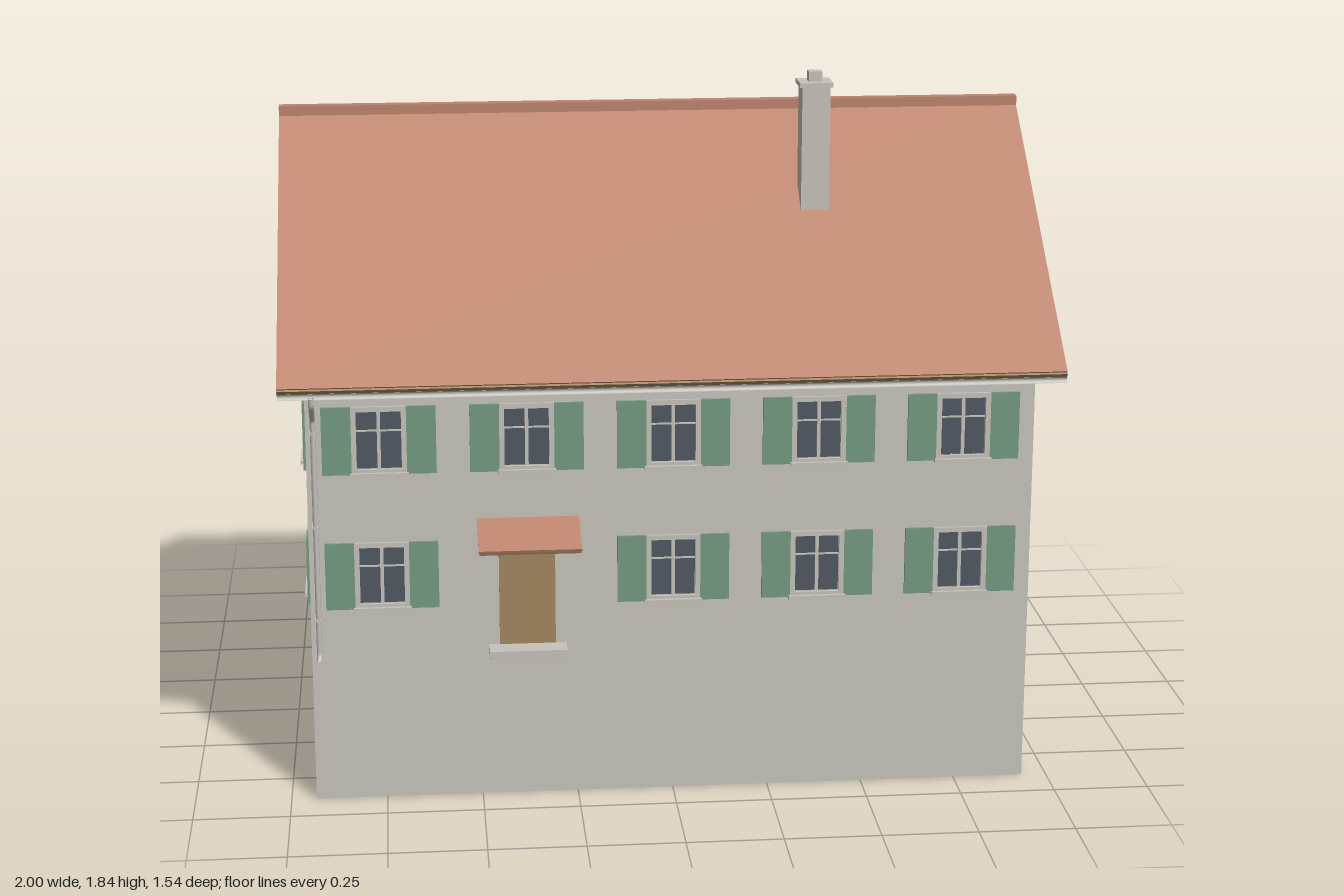
import * as THREE from 'three';

const mat = (name, color, side = THREE.FrontSide) => {
  const m = new THREE.MeshStandardMaterial({ color, side });
  m.name = name;
  return m;
};
const M = {
  wall: mat('plaster', 0xc8c4bd, THREE.DoubleSide),
  stone: mat('stone', 0xc6c2bb, THREE.DoubleSide),
  tile: mat('roofTile', 0xbd846d),
  wood: mat('wood', 0xa3875f),
  shutter: mat('shutterGreen', 0x739a80),
  glass: mat('glass', 0x4f5862, THREE.DoubleSide),
  iron: mat('darkIron', 0x4a4540),
};

// House measures
const ZC = -0.02, FRONT = 0.64, BACK = -0.67, HALF = 0.935;
const RIDGE = 1.705, SLOPE = 0.775, EAVE = 0.74, THICK = 0.025;
const COS = 1 / Math.hypot(1, SLOPE);
const underside = z => RIDGE - THICK / COS - SLOPE * Math.abs(z - ZC);

function mesh(name, geometry, material, parent, x = 0, y = 0, z = 0) {
  const m = new THREE.Mesh(geometry, material);
  m.name = name;
  m.position.set(x, y, z);
  parent.add(m);
  return m;
}
const box = (name, w, h, d, material, parent, x, y, z) =>
  mesh(name, new THREE.BoxGeometry(w, h, d), material, parent, x, y, z);

const poly = points => new THREE.Shape(points.map(p => new THREE.Vector2(...p)));
const rect = (x, y, w, h) => poly([
  [x - w / 2, y - h / 2], [x + w / 2, y - h / 2], [x + w / 2, y + h / 2], [x - w / 2, y + h / 2]]);

// Shuttered window on a wall plane, outside towards +z
function addWindow(parent, { x, y, w, h, s }) {
  const g = new THREE.Group();
  g.name = 'window';
  g.position.set(x, y, 0);
  parent.add(g);
  const iw = w - 0.026, ih = h - 0.026;
  const surround = rect(0, 0, w, h);
  surround.holes.push(rect(0, 0, iw, ih));
  mesh('windowSurround', new THREE.ExtrudeGeometry(surround, { depth: 0.008, bevelEnabled: false }), M.stone, g);
  mesh('windowGlass', new THREE.PlaneGeometry(iw, ih), M.glass, g, 0, 0, -0.006);
  box('windowMullion', 0.009, ih, 0.006, M.stone, g, 0, 0, -0.002);
  box('windowBar', iw, 0.004, 0.004, M.stone, g, 0, ih * 0.16, -0.003);
  box('windowSill', w + 0.008, 0.01, 0.018, M.stone, g, 0, -h / 2, 0.009);
  for (const side of [-1, 1])
    box('shutter', s, h, 0.007, M.shutter, g, side * (w + s) / 2, 0, 0.0045);
}

// Wall sheet with openings and its windows
function addWall(parent, name, outline, windows, door) {
  const g = new THREE.Group();
  g.name = name;
  parent.add(g);
  const shape = poly(outline);
  for (const n of windows) shape.holes.push(rect(n.x, n.y, n.w - 0.026, n.h - 0.026));
  if (door) shape.holes.push(rect(door.x, door.y, door.w, door.h));
  mesh(name + 'Plaster', new THREE.ShapeGeometry(shape), M.wall, g);
  windows.forEach(n => addWindow(g, n));
  return g;
}

const FLOORS = [0.612, 0.973];
const standard = (x, y) => ({ x, y, w: 0.14, h: 0.178, s: 0.075 });

// Chevron roof layer, extruded along the ridge
function roofLayer(name, top, thick, half, material, parent) {
  const dx = thick * SLOPE * COS, dy = thick * COS, low = top - SLOPE * half;
  const shape = poly([
    [0, top], [-half, low], [-half + dx, low - dy], [0, top - thick / COS],
    [half - dx, low - dy], [half, low]]);
  const geo = new THREE.ExtrudeGeometry(shape, { depth: 2, bevelEnabled: false });
  geo.translate(0, 0, -1).rotateY(Math.PI / 2);
  mesh(name, geo, material, parent, 0, 0, ZC);
}

// Gutter and downpipe; side +1 is the front, -1 the back
function addDrain(parent, side, x) {
  const g = new THREE.Group();
  g.name = side > 0 ? 'frontDrain' : 'backDrain';
  parent.add(g);
  const lip = ZC + side * (EAVE + 0.003), wall = side > 0 ? FRONT : BACK;
  const gutter = new THREE.CylinderGeometry(0.008, 0.008, 2, 10, 1, true, -Math.PI / 2, Math.PI);
  gutter.rotateZ(Math.PI / 2).rotateX(0);
  // Turn the open half upwards
  gutter.computeBoundingBox();
  if (gutter.boundingBox.max.y > 0.004) gutter.rotateX(Math.PI);
  mesh('gutter', gutter, M.stone, g, 0, 1.112, lip);
  const path = [[1.108, lip], [1.085, lip - side * 0.003], [1.03, wall + side * 0.018],
    [0.41, wall + side * 0.018], [0.393, wall + side * 0.03]];
  const curve = new THREE.CatmullRomCurve3(
    path.map(([y, z]) => new THREE.Vector3(x, y, z)), false, 'catmullrom', 0.05);
  mesh('downpipe', new THREE.TubeGeometry(curve, 90, 0.007, 8), M.stone, g);
  for (const y of [0.5, 0.75, 1.0])
    box('pipeClip', 0.018, 0.006, 0.026, M.stone, g, x, y, wall + side * 0.013);
}

export function createModel() {
  const house = new THREE.Group();
  house.name = 'house';

  // Long walls, five bays on two floors; the front door takes one bay
  const bays = [-0.75, -0.375, 0, 0.375, 0.75];
  const door = { x: -0.378, y: 0.548, w: 0.145, h: 0.27 };
  const long = z => [[-HALF, 0], [HALF, 0], [HALF, underside(z)], [-HALF, underside(z)]];
  const all = FLOORS.flatMap(y => bays.map(x => standard(x, y)));
  const front = addWall(house, 'frontWall', long(FRONT),
    all.filter(n => !(n.x === -0.375 && n.y === FLOORS[0])), door);
  front.position.z = FRONT;
  const back = addWall(house, 'backWall', long(BACK), all);
  back.position.z = BACK;
  back.rotation.y = Math.PI;

  // Gable walls with a pair of small attic windows
  for (const side of [1, -1]) {
    const u = z => -side * z;
    const outline = [[FRONT, 0], [BACK, 0], [BACK, underside(BACK)], [ZC, underside(ZC)],
      [FRONT, underside(FRONT)]].map(([z, y]) => [u(z), y]);
    const windows = FLOORS.flatMap(y => [0.453, -0.015, -0.485].map(z => standard(u(z), y)));
    for (const z of [0.14, -0.172]) windows.push({ x: u(z), y: 1.312, w: 0.115, h: 0.145, s: 0.06 });
    const gable = addWall(house, side > 0 ? 'leftGable' : 'rightGable', outline, windows);
    gable.position.x = side * HALF;
    gable.rotation.y = side * Math.PI / 2;
  }

  // Door, step and canopy
  const entry = new THREE.Group();
  entry.name = 'entrance';
  entry.position.set(door.x, 0, FRONT);
  house.add(entry);
  box('door', door.w, door.h, 0.008, M.wood, entry, 0, door.y, -0.001);
  box('doorLintel', door.w + 0.02, 0.018, 0.012, M.stone, entry, 0, 0.691, 0.005);
  box('doorStep', 0.2, 0.022, 0.06, M.stone, entry, 0, 0.404, 0.03);
  const canopy = new THREE.Group();
  canopy.name = 'canopy';
  canopy.position.set(0.004, 0.727, 0.063);
  canopy.rotation.x = 0.36;
  entry.add(canopy);
  box('canopyTiles', 0.262, 0.006, 0.136, M.tile, canopy, 0, 0.005, 0);
  box('canopyBoards', 0.258, 0.008, 0.134, M.wood, canopy, 0, -0.002, 0);
  for (const side of [-1, 1]) {
    box('canopyBracket', 0.008, 0.008, 0.1, M.iron, entry, side * 0.115 + 0.004, 0.694, 0.05);
    box('bracketPost', 0.008, 0.05, 0.01, M.iron, entry, side * 0.115 + 0.004, 0.7, 0.005);
  }

  // Roof boards, tiles and ridge cap
  roofLayer('roofBoards', RIDGE - 0.004 / COS, THICK - 0.004, EAVE, M.wood, house);
  roofLayer('roofTiles', RIDGE, 0.004, EAVE - 0.002, M.tile, house);
  box('ridgeCap', 2, 0.026, 0.034, M.tile, house, 0, 1.707, ZC);

  // Chimney
  const chimney = new THREE.Group();
  chimney.name = 'chimney';
  chimney.position.set(0.408, 0, 0.243);
  house.add(chimney);
  box('chimneyShaft', 0.074, 0.4, 0.076, M.stone, chimney, 0, 1.6, 0);
  box('chimneyCap', 0.088, 0.012, 0.088, M.stone, chimney, 0, 1.804, 0);
  box('chimneyFlue', 0.036, 0.028, 0.036, M.stone, chimney, 0, 1.822, 0);

  addDrain(house, 1, -0.915);
  addDrain(house, -1, 0.912);
  return house;
}
